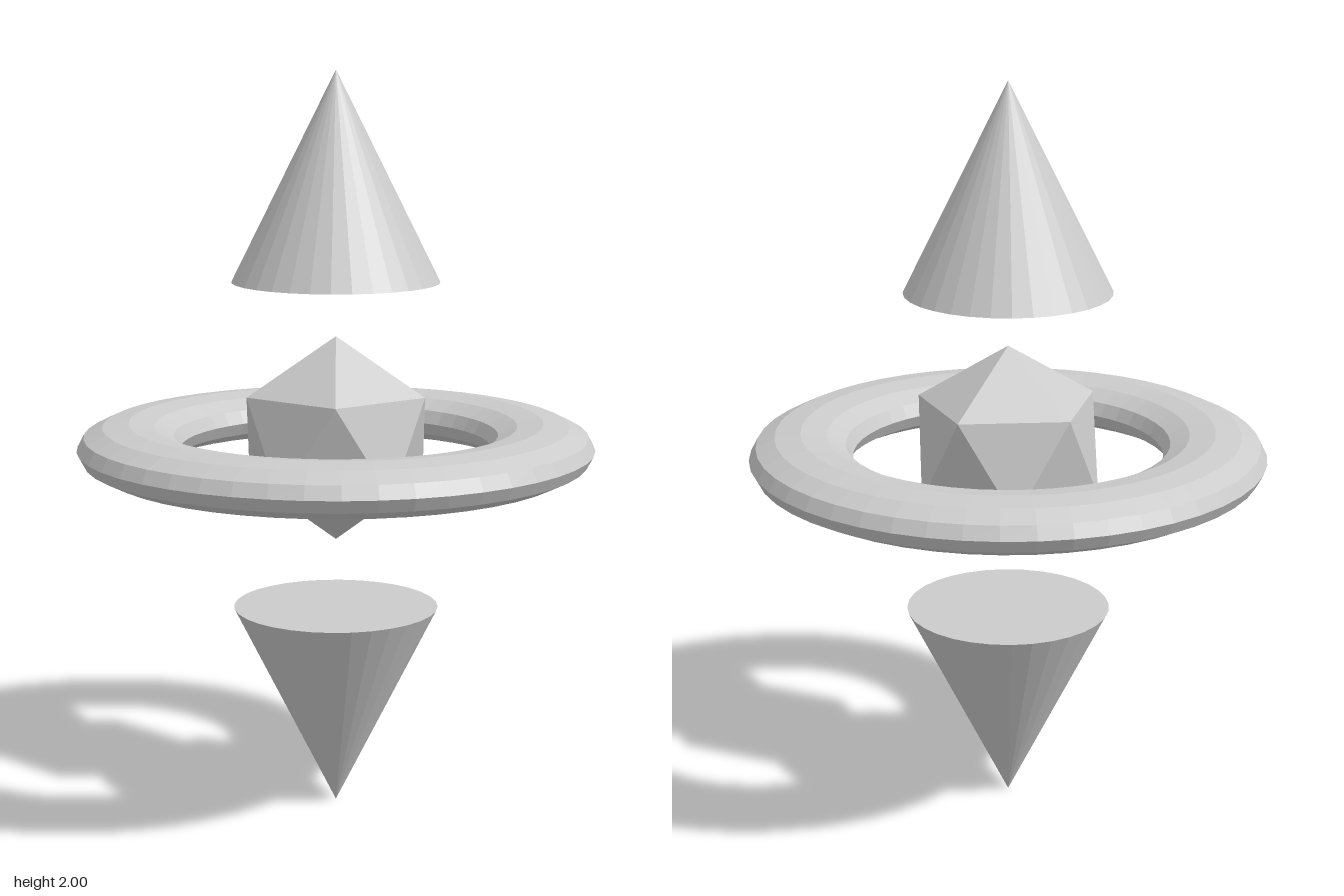
import * as THREE from 'three';

const UNIT = 0.278; // shared radius of cones and core

export function createModel() {
  const model = new THREE.Group();
  model.name = 'floatingTotem';
  const material = new THREE.MeshStandardMaterial({ color: 0xcccccc, flatShading: true });

  const add = (name, geometry, y) => {
    const mesh = new THREE.Mesh(geometry, material);
    mesh.name = name;
    mesh.position.y = y;
    model.add(mesh);
  };

  // Two cones pointing away from the middle
  add('upperCone', new THREE.ConeGeometry(UNIT, UNIT * 2, 32), 2 - UNIT);
  add('lowerCone', new THREE.ConeGeometry(UNIT, UNIT * 2, 32).rotateX(Math.PI), UNIT);

  // Flattened ring around the core
  const ring = new THREE.TorusGeometry(UNIT * 2, UNIT / 2, 12, 48);
  ring.rotateX(Math.PI / 2).scale(1, 0.5, 1);
  add('ring', ring, 1);

  // Twenty-sided core, turned to stand on a corner
  const golden = (1 + Math.sqrt(5)) / 2;
  const core = new THREE.IcosahedronGeometry(UNIT, 0).rotateZ(-Math.atan(1 / golden));
  add('core', core, 1.02);

  return model;
}
